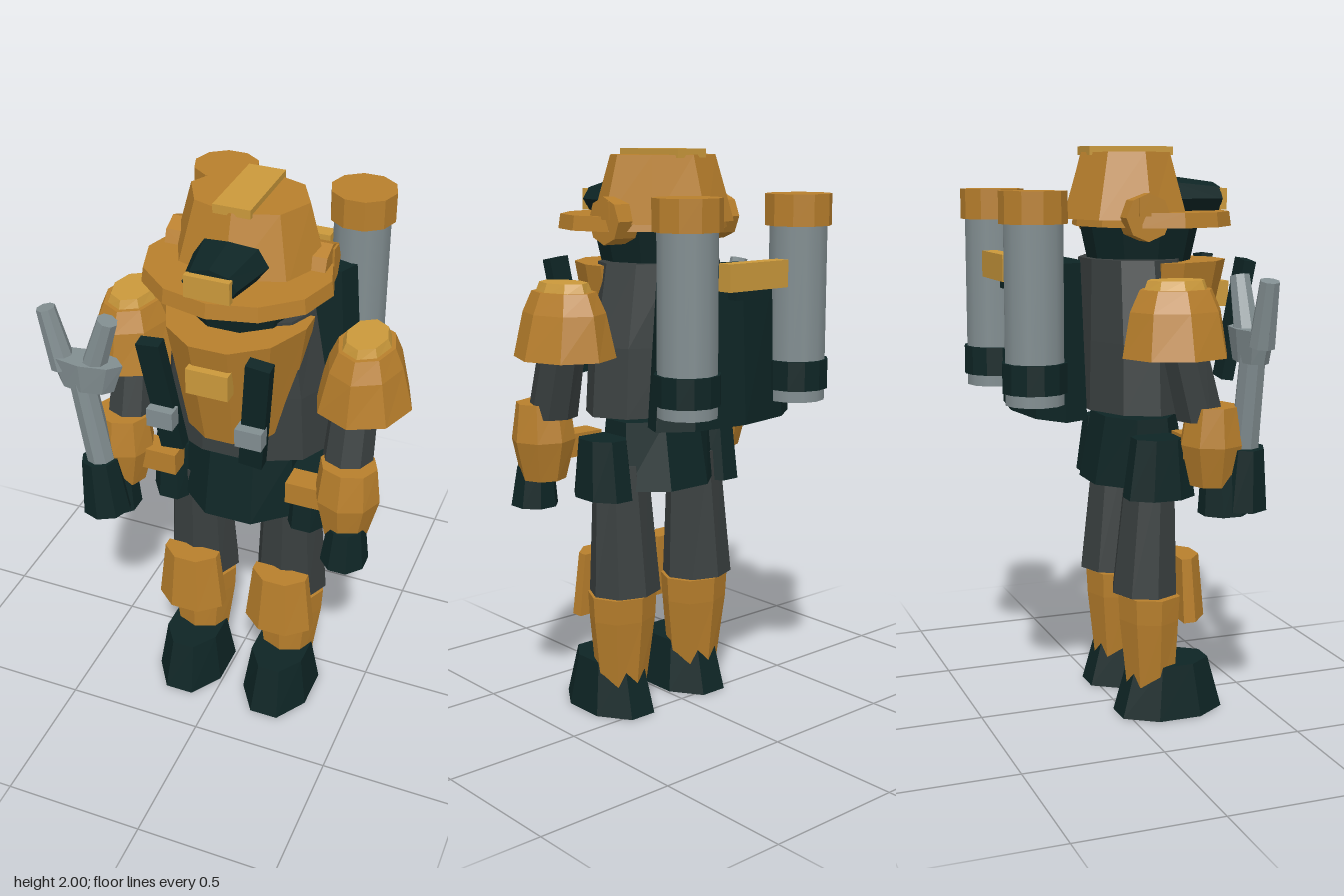
import * as THREE from 'three';

const paint = (name, color) => {
  const m = new THREE.MeshStandardMaterial({ color });
  m.name = name;
  return m;
};

export function createModel() {
  const orange = paint('orange armour', 0xb87f2c);
  const yellow = paint('pale yellow', 0xcb993b);
  const green = paint('dark green', 0x0e2525);
  const charcoal = paint('charcoal cloth', 0x393f3f);
  const steel = paint('steel grey', 0x828e91);

  const model = new THREE.Group();
  model.name = 'suitedEngineer';
  const body = new THREE.Group();
  body.name = 'body';
  body.position.x = 0.038;
  model.add(body);

  // Faceted look: every face gets its own normal
  const facet = (g) => {
    const f = g.index ? g.toNonIndexed() : g;
    f.computeVertexNormals();
    return f;
  };

  const add = (name, geo, mat, x = 0, y = 0, z = 0, parent = body) => {
    const mesh = new THREE.Mesh(geo, mat);
    mesh.name = name;
    mesh.position.set(x, y, z);
    parent.add(mesh);
    return mesh;
  };

  // Closed n-sided form through rings [y, rx, rz, zOffset], bottom to top
  const loft = (name, mat, n, rings, x = 0, z = 0, { turn = 0, half = false, smooth = false } = {}) => {
    const last = rings.length - 1;
    const g = new THREE.CylinderGeometry(1, 1, 1, n, last, false, turn * Math.PI / n);
    const p = g.attributes.position;
    for (let i = 0; i < p.count; i++) {
      const [y, rx, rz, dz = 0] = rings[Math.round((p.getY(i) + 0.5) * last)];
      const pz = half ? Math.max(p.getZ(i), 0) : p.getZ(i);
      p.setXYZ(i, p.getX(i) * rx, y, pz * rz + dz);
    }
    return add(name, smooth ? g : facet(g), mat, x, 0, z);
  };

  const box = (name, mat, w, h, d, x, y, z) => add(name, new THREE.BoxGeometry(w, h, d), mat, x, y, z);

  // Tapered rod between two points
  const rod = (name, mat, a, b, ra, rb, n = 8) => {
    const A = new THREE.Vector3(...a), B = new THREE.Vector3(...b);
    const dir = B.clone().sub(A);
    const mesh = add(name, facet(new THREE.CylinderGeometry(rb, ra, dir.length(), n)), mat);
    mesh.position.copy(A).add(B).multiplyScalar(0.5);
    mesh.quaternion.setFromUnitVectors(new THREE.Vector3(0, 1, 0), dir.normalize());
    return mesh;
  };

  // Helmet
  loft('helmetDome', orange, 8, [[1.755, 0.262, 0.226], [1.98, 0.2, 0.158]], 0, 0.055);
  loft('helmetBrim', orange, 12, [[1.73, 0.317, 0.275], [1.78, 0.31, 0.268]], 0, 0.153);
  box('helmetCrest', yellow, 0.125, 0.03, 0.305, 0, 1.985, 0.058);
  loft('neck', green, 10, [[1.58, 0.17, 0.175], [1.74, 0.205, 0.21]], 0, 0.11, { turn: 1 });

  // Headlamp
  const lampGeo = new THREE.CylinderGeometry(0.09, 0.13, 0.19, 8);
  lampGeo.rotateX(Math.PI / 2).scale(1, 0.62, 1);
  add('headlampHousing', facet(lampGeo), green, 0, 1.822, 0.295);
  box('headlampLens', yellow, 0.15, 0.075, 0.025, 0, 1.82, 0.4);

  // Torso and chest armour
  loft('torso', charcoal, 10, [[1.1, 0.302, 0.192], [1.34, 0.285, 0.185], [1.62, 0.235, 0.175]], 0, 0.075, { turn: 1 });
  loft('chestPlate', orange, 12, [[1.21, 0.19, 0.24], [1.61, 0.25, 0.325]], 0, 0.1, { half: true, turn: 1 });
  box('chestBadge', yellow, 0.143, 0.09, 0.05, 0, 1.487, 0.4);

  // Pelvis
  loft('pelvis', green, 8, [[0.83, 0.222, 0.19], [1.07, 0.205, 0.145]], 0, 0.09, { turn: 1 });

  // Backpack
  loft('backpack', green, 9, [[1.1, 0.31, 0.125], [1.62, 0.27, 0.105]], 0, -0.24, { turn: 9 });
  box('tankBridge', yellow, 0.26, 0.09, 0.055, 0, 1.6, -0.397);
  box('tankBridgeMount', green, 0.12, 0.08, 0.08, 0, 1.56, -0.34);

  for (const s of [-1, 1]) {
    const side = s > 0 ? 'left' : 'right';

    // Ear guards
    const ear = new THREE.CylinderGeometry(0.08, 0.08, 0.09, 8).rotateZ(Math.PI / 2);
    add(side + 'EarGuard', facet(ear), orange, s * 0.228, 1.765, 0.04);
    box(side + 'EarStud', orange, 0.03, 0.06, 0.04, s * 0.265, 1.8, 0.025);

    // Harness
    const strap = box(side + 'Strap', green, 0.08, 0.425, 0.045, s * 0.16, 1.405, 0.408);
    strap.rotation.set(0.14, 0, -s * 0.11);
    box(side + 'Buckle', steel, 0.09, 0.065, 0.05, s * 0.152, 1.338, 0.434);

    // Air tank
    const tx = s * 0.248, tz = -0.353;
    loft(side + 'Tank', steel, 12, [[1.16, 0.1, 0.1], [1.77, 0.1, 0.1]], tx, tz, { smooth: true });
    loft(side + 'TankCap', orange, 10, [[1.75, 0.115, 0.112], [1.855, 0.115, 0.112]], tx, tz, { turn: 1 });
    loft(side + 'TankBand', green, 12, [[1.2, 0.11, 0.11], [1.3, 0.11, 0.11]], tx, tz);

    // Hip pouches
    loft(side + 'HipPouch', green, 8, [[0.81, 0.09, 0.13], [1.02, 0.08, 0.1]], s * 0.25, 0.09, { turn: 1 });
    box(side + 'BeltBox', orange, 0.135, 0.082, 0.09, s * 0.27, 0.99, 0.2);

    // Arm
    const ax = s * 0.412;
    loft(side + 'Shoulder', orange, 8, [[1.32, 0.164, 0.186], [1.47, 0.125, 0.16], [1.54, 0.095, 0.127]], ax, 0.08);
    loft(side + 'ShoulderCap', yellow, 8, [[1.53, 0.085, 0.115], [1.57, 0.068, 0.1]], ax, 0.08);
    loft(side + 'UpperArm', charcoal, 8, [[1.1, 0.088, 0.085, 0.07], [1.38, 0.078, 0.08]], s * 0.395, 0.11);
    loft(side + 'Forearm', orange, 8,
      [[0.88, 0.078, 0.08, 0.005], [1.02, 0.113, 0.108], [1.15, 0.098, 0.085]], ax, 0.212);
    loft(side + 'Hand', green, 8, [[0.78, 0.082, 0.088, 0.01], [0.92, 0.064, 0.07]], s * 0.425, 0.245, { turn: 1 });

    // Leg
    const lx = s * 0.172;
    loft(side + 'Thigh', charcoal, 8, [[0.455, 0.134, 0.118, -0.01], [0.92, 0.105, 0.085, 0.01]], lx, 0.078);
    loft(side + 'Shin', orange, 8, [[0.09, 0.09, 0.09, 0.01], [0.355, 0.125, 0.11], [0.445, 0.13, 0.115]], lx, 0.085);
    loft(side + 'KneePad', orange, 8, [[0.355, 0.135, 0.115], [0.58, 0.108, 0.095]], lx, 0.17, { half: true, turn: 1 });
    loft(side + 'Boot', green, 8, [[0, 0.135, 0.205], [0.19, 0.106, 0.15]], lx, 0.16, { turn: 1 });
  }

  // Forked wrench held upright in the right hand
  const wz = 0.318;
  rod('wrenchGrip', green, [-0.437, 0.8, wz], [-0.455, 1.01, wz], 0.088, 0.066);
  rod('wrenchHandle', steel, [-0.44, 0.95, wz], [-0.508, 1.37, wz], 0.05, 0.044);
  loft('wrenchHead', steel, 8, [[1.3, 0.1, 0.045], [1.41, 0.138, 0.055]], -0.483, wz);
  rod('wrenchOuterProng', steel, [-0.565, 1.36, wz], [-0.615, 1.575, wz], 0.045, 0.033);
  rod('wrenchInnerProng', steel, [-0.46, 1.36, wz], [-0.39, 1.575, wz], 0.045, 0.035);

  return model;
}
